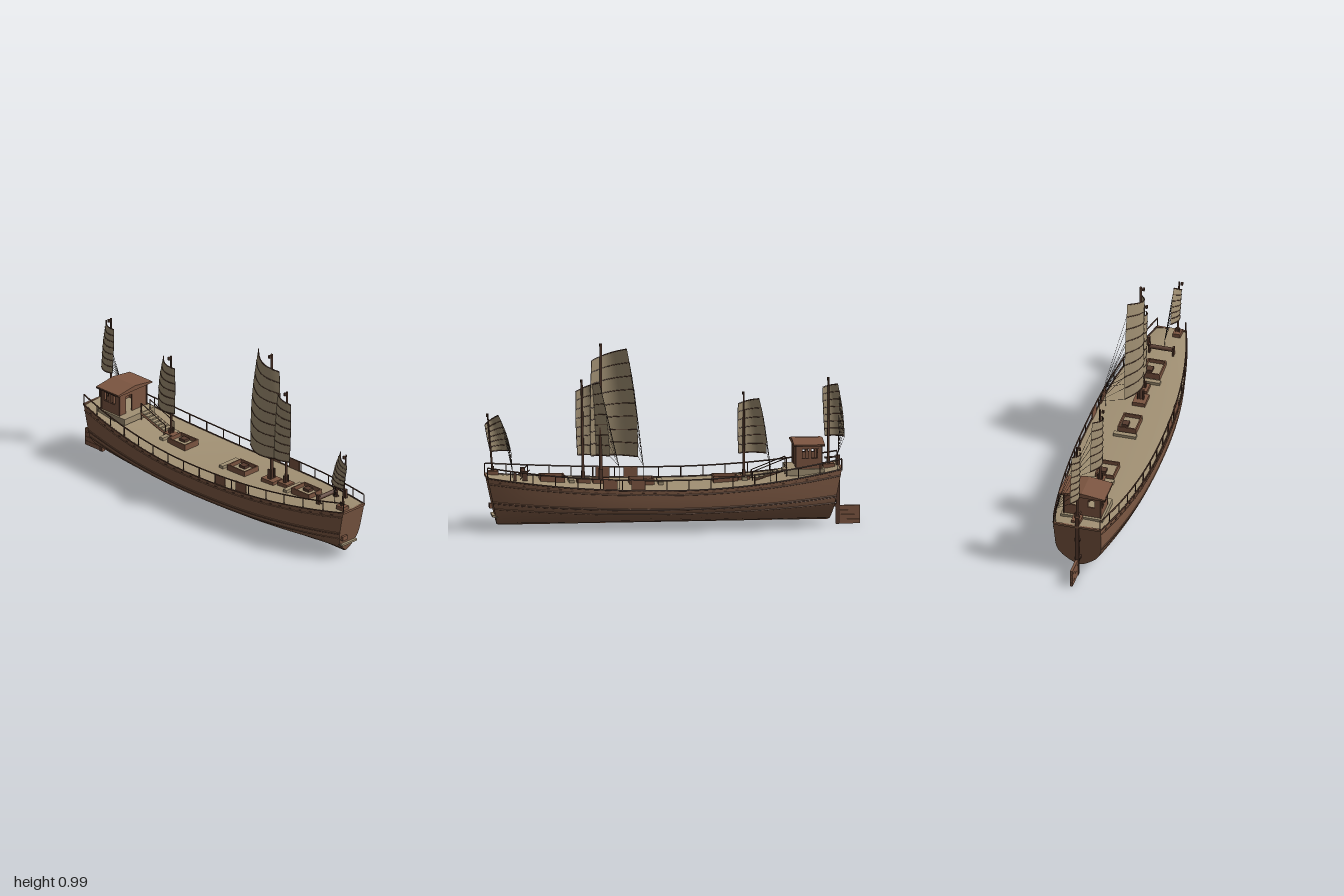
import * as THREE from 'three';

const mat = (name, color, side = THREE.FrontSide) => {
  const m = new THREE.MeshStandardMaterial({ color, side });
  m.name = name;
  return m;
};
const M = {
  hull: mat('hull brown', 0x805b45),
  dark: mat('dark timber', 0x573b2e),
  deck: mat('deck tan', 0xa29174),
  sail: mat('sail canvas', 0xa29174, THREE.DoubleSide),
  cabin: mat('cabin brown', 0x7d5641),
  rope: mat('rope dark brown', 0x362a23),
};
const V = (x, y, z) => new THREE.Vector3(x, y, z);
const UP = V(0, 1, 0);

function add(parent, name, geo, material, x = 0, y = 0, z = 0) {
  const mesh = new THREE.Mesh(geo, material);
  mesh.name = name;
  mesh.position.set(x, y, z);
  parent.add(mesh);
  return mesh;
}
const box = (p, name, m, w, h, d, x, y, z) => add(p, name, new THREE.BoxGeometry(w, h, d), m, x, y, z);
function rod(p, name, m, r, a, b, rTop = r, sides = 8) {
  const mesh = add(p, name, new THREE.CylinderGeometry(rTop, r, a.distanceTo(b), sides), m);
  mesh.position.copy(a).lerp(b, 0.5);
  mesh.quaternion.setFromUnitVectors(UP, b.clone().sub(a).normalize());
  return mesh;
}
const tube = (p, name, m, r, pts, seg = 40, sides = 6) =>
  add(p, name, new THREE.TubeGeometry(new THREE.CatmullRomCurve3(pts), seg, r, sides), m);

// Surface from a rule; it faces along dU x dV
function grid(nu, nv, fn) {
  const pos = [], idx = [];
  for (let i = 0; i <= nu; i++) for (let j = 0; j <= nv; j++) pos.push(...fn(i / nu, j / nv).toArray());
  for (let i = 0; i < nu; i++) for (let j = 0; j < nv; j++) {
    const a = i * (nv + 1) + j, b = a + nv + 1;
    idx.push(a, b, b + 1, a, b + 1, a + 1);
  }
  const g = new THREE.BufferGeometry();
  g.setAttribute('position', new THREE.Float32BufferAttribute(pos, 3));
  g.setIndex(idx);
  g.computeVertexNormals();
  return g;
}

// Hull lines: sheer height, half width and section shape
const sheer = x => 0.23 + (x > 0 ? 0.06 * (x / 0.99) ** 2 : 0.085 * (x / 0.89) ** 2);
const halfWidth = x => 0.215 - (x > 0 ? 0.135 * (x / 0.99) ** 2.5 : 0.085 * (-x / 0.89) ** 2);
const section = [[0, 0], [0.22, 0.035], [0.47, 0.11], [0.7, 0.2], [0.87, 0.31], [0.945, 0.41], [0.97, 0.55], [0.99, 0.77], [1, 1]];
function widthAt(v) {
  const k = Math.max(1, section.findIndex(s => s[1] >= v));
  const [w0, v0] = section[k - 1], [w1, v1] = section[k];
  return w0 + (w1 - w0) * (v - v0) / (v1 - v0);
}
function hullPoint(s, w, v) {
  const xd = 0.05 + 0.94 * s;
  return V(0.05 + s * (0.885 + 0.055 * v), 0.03 + (sheer(xd) - 0.03) * v, halfWidth(xd) * w);
}
const hullLine = (v, side, lift = 0, out = 0, n = 24) => Array.from({ length: n + 1 }, (_, i) => {
  const p = hullPoint(i / n * 2 - 1, side * widthAt(v), v);
  return p.add(V(0, lift, side * out));
});

function buildHull(root) {
  const g = new THREE.Group();
  g.name = 'hull';
  root.add(g);
  const n = section.length - 1;
  add(g, 'planking', grid(48, 2 * n, (u, t) => {
    const k = Math.round(t * 2 * n) - n, [w, v] = section[Math.abs(k)];
    return hullPoint(u * 2 - 1, Math.sign(k) * w, v);
  }), M.hull);
  for (const end of [-1, 1]) add(g, end > 0 ? 'bowTransom' : 'sternTransom', grid(n, 2, (u, t) => {
    const [w, v] = section[Math.round(u * n)];
    return hullPoint(end, end * (t * 2 - 1) * w, v);
  }), M.hull);
  add(g, 'deck', grid(48, 8, (u, t) => {
    const p = hullPoint(u * 2 - 1, 1 - 2 * t, 1);
    p.y += 0.008 * (1 - (1 - 2 * t) ** 2) - 0.003;
    return p;
  }), M.deck);
  box(g, 'keel', M.hull, 1.76, 0.012, 0.02, 0.05, 0.034, 0);
  for (const side of [-1, 1]) {
    // Wales and gunwale
    for (const v of [0.36, 0.5, 0.88]) tube(g, 'wale', M.hull, 0.004, hullLine(v, side), 60);
    tube(g, 'waleSeam', M.dark, 0.002, hullLine(0.47, side, 0, 0.001), 60);
    tube(g, 'gunwale', M.dark, 0.004, hullLine(1, side), 60);
    hullLine(0.93, side, 0, 0, 30).slice(1, -1).forEach(p => box(g, 'scupper', M.dark, 0.016, 0.004, 0.005, p.x, p.y, p.z));
    // Railing
    tube(g, 'handrail', M.dark, 0.004, hullLine(1, side, 0.055, -0.003), 60);
    hullLine(1, side, 0, -0.003, 16).forEach(p => rod(g, 'railPost', M.dark, 0.003, p, p.clone().add(V(0, 0.055, 0))));
  }
  // Gangway panels in the railing
  for (const [x, side] of [[0.2, 1], [0.35, 1], [0.2, -1], [0.35, -1]])
    box(g, 'gatePanel', M.cabin, 0.075, 0.055, 0.007, x, sheer(x) + 0.028, side * (halfWidth(x) - 0.004));
  // Bow and stern fittings
  box(g, 'bowStep', M.deck, 0.03, 0.01, 0.11, 0.947, 0.08, 0);
  box(g, 'bowHawseBox', M.cabin, 0.02, 0.025, 0.036, 0.96, 0.123, 0.043);
  box(g, 'bowBeam', M.hull, 0.012, 0.012, 0.16, 0.988, 0.288, 0);
  box(g, 'sternBeam', M.hull, 0.012, 0.012, 0.26, -0.888, 0.313, 0);
}

function buildRudder(root) {
  const g = new THREE.Group();
  g.name = 'rudder';
  root.add(g);
  box(g, 'rudderPost', M.dark, 0.022, 0.37, 0.02, -0.882, 0.185, 0);
  for (let i = 0; i < 4; i++) box(g, 'rudderPlank', M.cabin, 0.13, 0.0235, 0.014, -0.935, 0.0125 + i * 0.0248, 0);
  for (const y of [0.1, 0.22]) box(g, 'rudderBracket', M.dark, 0.05, 0.014, 0.03, -0.86, y, 0);
  rod(g, 'tiller', M.dark, 0.005, V(-0.89, 0.362, 0), V(-0.81, 0.355, 0));
}

// Thin wall w x h, centred, with openings [x, y, w, h]
function wall(w, h, holes) {
  const rect = (P, x, y, a, b) => new P([[-a, -b], [a, -b], [a, b], [-a, b]].map(p => new THREE.Vector2(x + p[0] / 2, y + p[1] / 2)));
  const s = rect(THREE.Shape, 0, 0, w, h);
  s.holes = holes.map(o => rect(THREE.Path, ...o));
  return new THREE.ExtrudeGeometry(s, { depth: 0.008, bevelEnabled: false }).translate(0, 0, -0.004);
}

function buildCabin(root) {
  const g = new THREE.Group();
  g.name = 'cabin';
  root.add(g);
  box(g, 'platform', M.deck, 0.2, 0.035, 0.23, -0.7, 0.298, 0);
  // Open windows run through the cabin
  const windows = [-0.03, 0.018];
  for (const side of [-1, 1]) {
    add(g, 'sideWall', wall(0.135, 0.13, windows.map(x => [x, 0.022, 0.032, 0.05])), M.cabin, -0.718, 0.375, side * 0.1);
    for (const x of windows) {
      box(g, 'windowBar', M.dark, 0.003, 0.05, 0.005, -0.718 + x, 0.397, side * 0.1);
      for (const y of [0.371, 0.423]) box(g, 'windowFrame', M.dark, 0.038, 0.004, 0.012, -0.718 + x, y, side * 0.1);
    }
    for (const x of [-0.785, -0.651]) box(g, 'cornerPost', M.dark, 0.008, 0.13, 0.008, x, 0.375, side * 0.101);
  }
  const openings = { frontWall: [[-0.03, -0.012, 0.045, 0.1]], backWall: [[-0.05, 0.022, 0.035, 0.045], [0.05, 0.022, 0.035, 0.045]] };
  for (const [name, x] of [['frontWall', -0.655], ['backWall', -0.781]])
    add(g, name, wall(0.195, 0.13, openings[name]), M.cabin, x, 0.375, 0).rotation.y = Math.PI / 2;
  // Low gabled roof
  const s = new THREE.Shape([[-0.127, 0], [0.127, 0], [0.127, 0.009], [0, 0.026], [-0.127, 0.009]].map(p => new THREE.Vector2(...p)));
  const roof = new THREE.ExtrudeGeometry(s, { depth: 0.165, bevelEnabled: false }).rotateY(Math.PI / 2);
  add(g, 'roof', roof, M.cabin, -0.8, 0.439, 0);
  for (const side of [-1, 1]) box(g, 'eaveTrim', M.dark, 0.167, 0.006, 0.004, -0.7175, 0.442, side * 0.127);
  // Steps down to the main deck
  for (let i = 0; i < 7; i++) box(g, 'step', M.deck, 0.022, 0.008, 0.06, -0.59 + i * 0.024, 0.308 - i * 0.0075, -0.042);
  for (const z of [-0.075, -0.01]) {
    rod(g, 'stairString', M.cabin, 0.005, V(-0.6, 0.308, z), V(-0.43, 0.254, z));
    rod(g, 'stairRail', M.dark, 0.0025, V(-0.6, 0.37, z), V(-0.42, 0.3, z));
    for (const [x, y] of [[-0.6, 0.37], [-0.42, 0.3]]) rod(g, 'stairPost', M.dark, 0.003, V(x, sheer(x), z), V(x, y, z));
  }
}

function buildFittings(root) {
  const g = new THREE.Group();
  g.name = 'deckFittings';
  root.add(g);
  // Open hatches with their covers laid aside
  for (const x of [-0.28, 0.165, 0.64]) {
    const y = sheer(x) + 0.018;
    for (const s of [-1, 1]) {
      box(g, 'hatchSide', M.cabin, 0.13, 0.034, 0.007, x, y, s * 0.048);
      box(g, 'hatchEnd', M.cabin, 0.007, 0.034, 0.1, x + s * 0.062, y, 0);
    }
    box(g, 'hatchFloor', M.deck, 0.118, 0.006, 0.09, x, y - 0.008, 0);
    box(g, 'hatchCrate', M.dark, 0.04, 0.02, 0.035, x - 0.01, y, -0.02);
    box(g, 'hatchCover', M.deck, 0.027, 0.016, 0.125, x - 0.1, sheer(x - 0.1) + 0.014, 0);
  }
  // Anchor windlass
  rod(g, 'windlassDrum', M.dark, 0.012, V(0.79, 0.305, -0.07), V(0.79, 0.305, 0.07), 0.012, 12);
  for (const z of [-0.065, 0.065]) {
    box(g, 'windlassPost', M.dark, 0.025, 0.055, 0.01, 0.79, 0.295, z);
    rod(g, 'windlassHandle', M.dark, 0.003, V(0.765, 0.33, z), V(0.815, 0.28, z));
  }
  box(g, 'bitt', M.dark, 0.016, 0.05, 0.016, 0.845, 0.3, -0.085);
}

// Each rig: mast, sail corners [x, y], leech and luff depth, panels, sheet anchor
const rigs = [
  { name: 'sternRig', mast: [-0.83, 0.79, -0.015], lean: 0, r: 0.007, lb: [-0.915, 0.475], lt: [-0.88, 0.755], rb: [-0.812, 0.475], rt: [-0.8, 0.735], z: [-0.03, -0.008], n: 7, sheet: [-0.87, 0.4, -0.12] },
  { name: 'mizzenRig', mast: [-0.38, 0.72, -0.012], lean: 0, r: 0.007, lb: [-0.5, 0.392], lt: [-0.46, 0.685], rb: [-0.352, 0.39], rt: [-0.35, 0.655], z: [-0.035, -0.01], n: 6, sheet: [-0.51, 0.33, -0.145] },
  { name: 'mainRig', mast: [0.38, 0.99, 0], lean: 0, r: 0.01, lb: [0.185, 0.385], lt: [0.245, 0.965], rb: [0.435, 0.388], rt: [0.43, 0.9], z: [-0.037, -0.008], n: 8, sheet: [0.17, 0.36, -0.17] },
  { name: 'foreRig', mast: [0.475, 0.8, -0.012], lean: 0.008, r: 0.008, lb: [0.335, 0.39], lt: [0.39, 0.785], rb: [0.505, 0.395], rt: [0.515, 0.735], z: [-0.035, -0.008], n: 7, sheet: [0.3, 0.36, -0.17] },
  { name: 'bowRig', mast: [0.95, 0.615, 0.045], lean: 0.028, r: 0.006, lb: [0.855, 0.418], lt: [0.922, 0.61], rb: [0.962, 0.41], rt: [0.992, 0.555], z: [0.03, 0.052], n: 6, sheet: [0.85, 0.31, 0.0] },
];

function buildRig(root, R) {
  const g = new THREE.Group();
  g.name = R.name;
  root.add(g);
  const [mx, top, mz] = R.mast, base = sheer(mx);
  const head = V(mx + R.lean, top, mz);
  rod(g, 'mast', M.dark, R.r, V(mx, base, mz), head, R.r * 0.7, 10);
  box(g, 'mastheadBlock', M.dark, 0.012, 0.016, 0.012, head.x, head.y - 0.01, mz + 0.015);
  // Mast step and cheeks
  box(g, 'mastStep', M.cabin, R.r * 9, 0.022, R.r * 7, mx, base + 0.014, mz);
  for (const s of [-1, 1]) box(g, 'mastCheek', M.dark, R.r * 2.2, R.r * 8, R.r * 0.7, mx, base + R.r * 4, mz + s * R.r * 1.5);
  // Battened sail, bellied forward of the mast, with a rounded leech
  const mix = THREE.MathUtils.lerp, chord = R.rb[0] - R.lb[0];
  const point = (b, a) => {
    const lx = mix(R.lb[0], R.lt[0], b) - 0.07 * chord * Math.sin(Math.PI * b);
    const rx = mix(R.rb[0], R.rt[0], b) + 0.02 * chord * Math.sin(Math.PI * b);
    return V(mix(lx, rx, a), mix(mix(R.lb[1], R.lt[1], b), mix(R.rb[1], R.rt[1], b), a),
      mix(R.z[0], R.z[1], a) + 0.19 * chord * Math.sin(Math.PI * a));
  };
  add(g, 'sail', grid(R.n * 3, 12, point), M.sail);
  const anchor = V(...R.sheet);
  for (let i = 0; i <= R.n; i++) {
    const pts = [0, 0.25, 0.5, 0.75, 1].map(a => point(i / R.n, a));
    tube(g, 'batten', M.dark, i % R.n ? 0.0025 : 0.0032, pts, 10, 5);
    if (i < R.n) rod(g, 'sheet', M.rope, 0.0011, pts[0], anchor, 0.0011, 4);
  }
  tube(g, 'luffRope', M.rope, 0.0013, [0, 0.25, 0.5, 0.75, 1].map(b => point(b, 1)), 12, 4);
  rod(g, 'sheetTail', M.rope, 0.0013, anchor, V(anchor.x, sheer(anchor.x), anchor.z), 0.0013, 4);
}

export function createModel() {
  const root = new THREE.Group();
  root.name = 'sailingJunk';
  buildHull(root);
  buildRudder(root);
  buildCabin(root);
  buildFittings(root);
  rigs.forEach(r => buildRig(root, r));
  return root;
}
